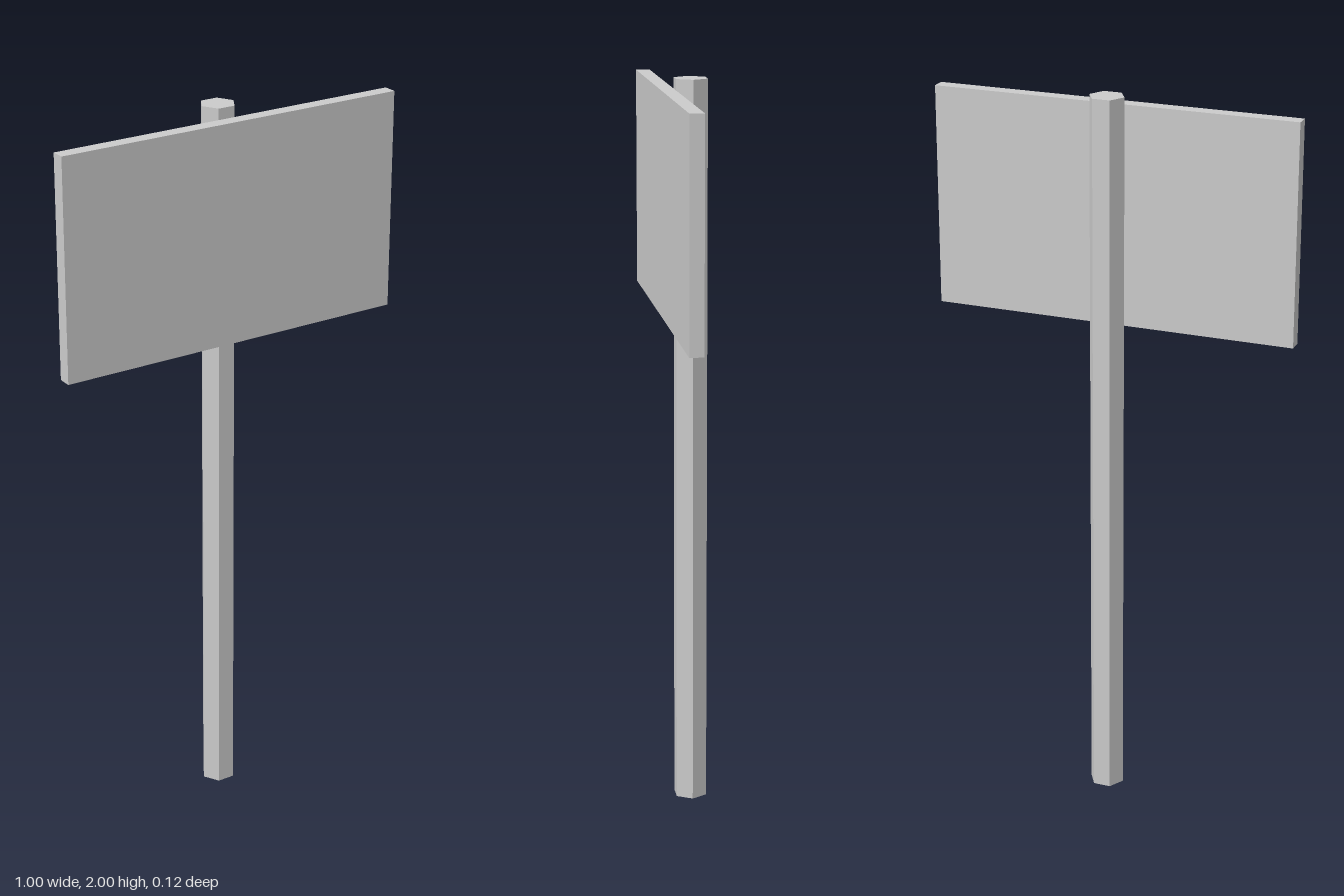
import * as THREE from 'three';

export function createModel() {
  const group = new THREE.Group();
  const material = new THREE.MeshStandardMaterial({ color: 0xcccccc, flatShading: true });

  const addPart = (name, geometry, x, y, z) => {
    const mesh = new THREE.Mesh(geometry, material);
    mesh.name = name;
    mesh.position.set(x, y, z);
    group.add(mesh);
  };

  // Hexagonal post with flat sides facing front and back
  addPart('post', new THREE.CylinderGeometry(0.048, 0.048, 2, 6, 1, false, Math.PI / 6), 0, 1, -0.019);

  // Flat sign panel fixed to the front of the post
  addPart('signBoard', new THREE.BoxGeometry(1, 0.6, 0.038), 0, 1.67, 0.041);

  return group;
}
